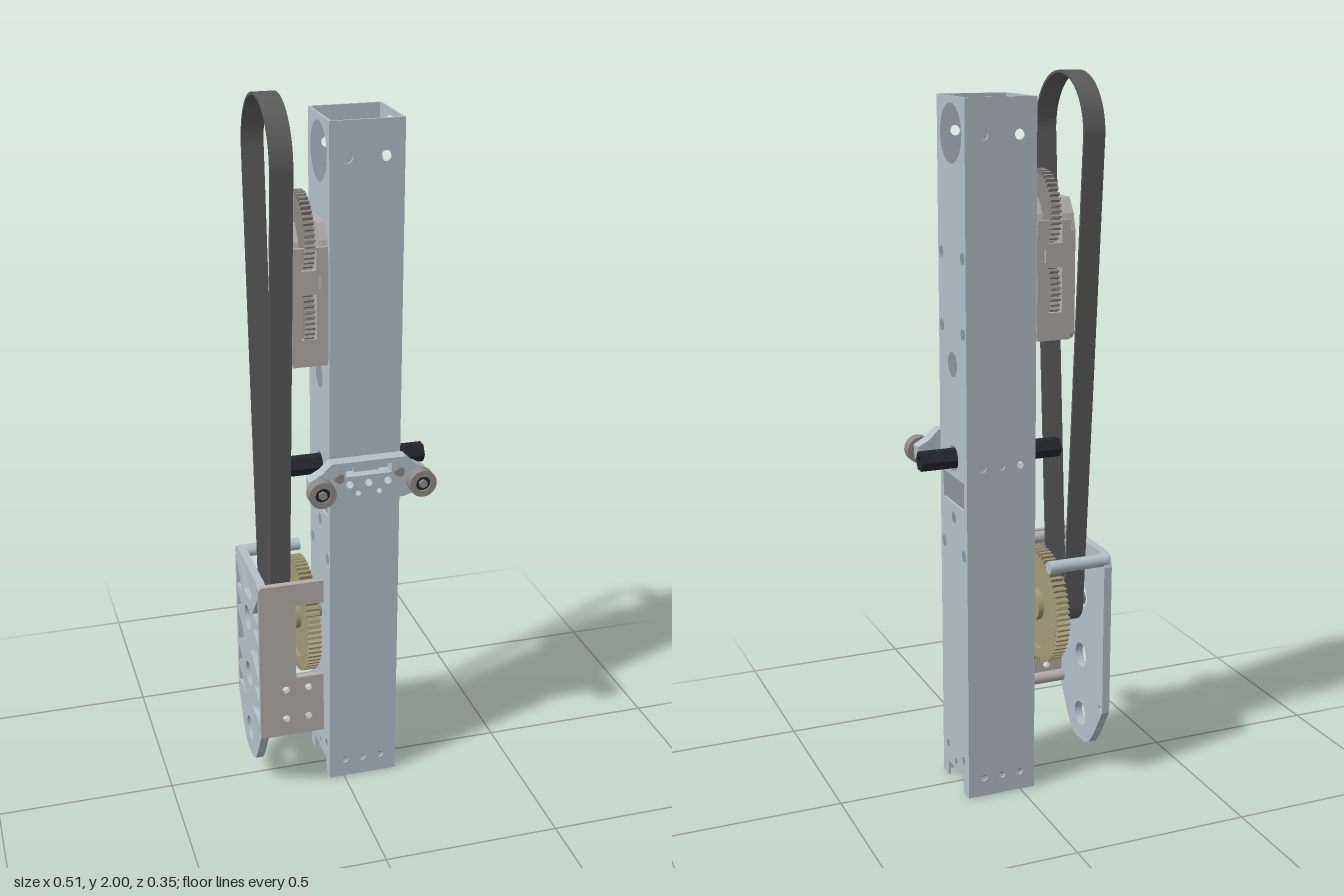
import * as THREE from 'three';

const BLUE = 0xb4c0c9, GREY = 0xb4aeab, DARK = 0x24272c, OLIVE = 0xa39b78, RUBBER = 0x5c5c5c, STEEL = 0x8f8a86;
const ZC = -0.011; // depth of the main centre plane

export function createModel() {
  const root = new THREE.Group();
  const mats = {};
  const mat = (c) => (mats[c] ??= new THREE.MeshStandardMaterial({ color: c }));
  const add = (name, geo, color, parent = root) => {
    const m = new THREE.Mesh(geo, mat(color));
    m.name = name;
    parent.add(m);
    return m;
  };

  // Shape helpers
  const poly = (pts) => new THREE.Shape(pts.map(([a, b]) => new THREE.Vector2(a, b)));
  const rect = (a0, b0, a1, b1) => poly([[a0, b0], [a1, b0], [a1, b1], [a0, b1]]);
  const circle = (a, b, r) => new THREE.Path().absarc(a, b, r, 0, Math.PI * 2, true);
  const mirrored = (half) => poly([...half, ...half.slice().reverse().map(([a, b]) => [-a, b])]);
  const cut = (shape, ...holes) => { shape.holes.push(...holes); return shape; };
  const alongZ = (shape, z0, z1) =>
    new THREE.ExtrudeGeometry(shape, { depth: z1 - z0, bevelEnabled: false, curveSegments: 12 }).translate(0, 0, z0);
  const alongX = (shape, x0, x1) => // shape lies in the side plane, centred on ZC
    alongZ(shape, 0, x1 - x0).rotateY(Math.PI / 2).translate(x0, 0, ZC);
  const rodX = (r, x0, x1, y, z, seg = 20) =>
    new THREE.CylinderGeometry(r, r, x1 - x0, seg).rotateZ(Math.PI / 2).translate((x0 + x1) / 2, y, z);
  const rodZ = (r, z0, z1, x, y, seg = 24) =>
    new THREE.CylinderGeometry(r, r, z1 - z0, seg).rotateX(Math.PI / 2).translate(x, y, (z0 + z1) / 2);
  const gearShape = (n, rIn, rOut, y, bore) => {
    const pts = [];
    for (let i = 0; i < n; i++)
      for (const [f, r] of [[0, rIn], [0.3, rIn], [0.45, rOut], [0.8, rOut]]) {
        const t = ((i + f) / n) * Math.PI * 2;
        pts.push([r * Math.cos(t), y + r * Math.sin(t)]);
      }
    return cut(poly(pts), circle(0, y, bore));
  };

  // Square tube: two drilled sides, front and rear walls
  const tube = new THREE.Group();
  tube.name = 'squareTube';
  root.add(tube);
  for (const x of [-0.043, 0.151]) {
    const side = mirrored([[0.101, 0], [0.101, 1.94]].reverse().concat([[0.101, 0], [0.06, 0], [0.06, 0.045]]).slice(0, 1)
      .concat([[0.101, 0], [0.06, 0], [0.06, 0.045]]));
    cut(side, circle(0, 1.845, 0.078), circle(0, 1.235, 0.034), circle(0, 0.975, 0.036), circle(0, 0.805, 0.016),
      circle(0, 0.07, 0.009), rect(-0.078, 0.845, 0.078, 0.922));
    for (const s of [-1, 1])
      for (const [a, y, r] of [[0.078, 1.53, 0.016], [0.078, 1.33, 0.016], [0.076, 0.715, 0.016], [0.062, 0.1, 0.011]])
        side.holes.push(circle(s * a, y, r));
    add('tubeSide', alongX(side, x, x + 0.006), BLUE, tube);
  }
  for (const z of [-0.112, 0.084]) {
    const wall = cut(rect(-0.043, 0, 0.157, 1.94), circle(0.005, 1.845, 0.014), circle(0.107, 1.845, 0.014));
    for (const x of [0.002, 0.056, 0.11]) wall.holes.push(circle(x, 0.055, 0.01), circle(x, 0.965, 0.01));
    add('tubeWall', alongZ(wall, z, z + 0.006), BLUE, tube);
  }

  // Hollow hexagonal cross shaft made of six panels, with a pin hole near the end
  const shaft = new THREE.Group();
  shaft.name = 'crossShaft';
  shaft.position.set(0, 0.975, ZC);
  root.add(shaft);
  for (let i = 0; i < 6; i++) {
    const panel = rect(-0.155, -0.0148, 0.255, 0.0148);
    if (i % 3 === 0) panel.holes.push(circle(0.217, 0, 0.01));
    const p = add('shaftPanel', alongZ(panel, 0.013, 0.0245).rotateX(-Math.PI / 2), DARK, shaft);
    p.rotation.x = (i * Math.PI) / 3;
  }

  // Drive belt: tapered loop, wide at the top and tight round the lower pulley
  const loop = (rTop, rLow) => {
    const tilt = Math.asin((rTop - rLow) / 1.323);
    const s = new THREE.Shape();
    s.absarc(0, 1.843, rTop, -tilt, Math.PI + tilt, false);
    s.absarc(0, 0.52, rLow, Math.PI + tilt, Math.PI * 2 - tilt, false);
    s.closePath();
    return s;
  };
  const beltShape = cut(loop(0.157, 0.063), loop(0.15, 0.056));
  add('driveBelt', new THREE.ExtrudeGeometry(beltShape, { depth: 0.06, bevelEnabled: false, curveSegments: 40 })
    .rotateY(Math.PI / 2).translate(-0.21, 0, ZC), RUBBER);
  add('lowerPulley', rodX(0.056, -0.212, -0.148, 0.52, ZC, 32), STEEL);

  // Upper gearbox: two cheek plates, slotted front and rear walls, two gears
  const box = new THREE.Group();
  box.name = 'upperGearbox';
  root.add(box);
  const cheek = () => {
    const s = mirrored([[0.085, 1.3], [0.1, 1.315], [0.1, 1.59], [0.088, 1.635], [0.06, 1.675]]);
    return cut(s, circle(0, 1.64, 0.02), circle(0, 1.44, 0.02), circle(0, 1.54, 0.018));
  };
  add('outerCheek', alongX(cheek(), -0.142, -0.122), GREY, box);
  add('innerCheek', alongX(cheek(), -0.066, -0.045), GREY, box);
  const ribs = mirrored([[0.085, 1.3], [0.1, 1.315], [0.1, 1.59], [0.088, 1.635], [0.06, 1.675]]);
  for (const y of [1.34, 1.44, 1.54]) ribs.holes.push(rect(-0.085, y - 0.035, 0.085, y + 0.035));
  ribs.holes.push(circle(0, 1.63, 0.034));
  add('outerRibs', alongX(ribs, -0.155, -0.142), GREY, box);
  for (const y of [1.34, 1.44, 1.54])
    add('bearingBoss', alongX(cut(rect(-0.045, y - 0.026, 0.045, y + 0.026), circle(0, y, 0.02)), -0.152, -0.141), GREY, box);
  for (const s of [-1, 1]) {
    const wall = rect(-0.142, 1.3, -0.047, 1.62);
    wall.holes.push(rect(-0.117, 1.375, -0.077, 1.495), rect(-0.117, 1.56, -0.077, 1.615), rect(-0.07, 1.51, -0.052, 1.545));
    const z = ZC + s * 0.096;
    add('gearboxWall', alongZ(wall, z - 0.005, z + 0.005), GREY, box);
  }
  for (const y of [1.64, 1.437]) {
    add('upperGear', alongX(gearShape(44, 0.1, 0.112, y - 0.005, 0.012), -0.11, -0.083), STEEL, box);
    add('gearAxle', rodX(0.013, -0.142, -0.045, y - 0.005, ZC), STEEL, box);
  }

  // Lower drive: large gear with a recessed web and hub
  const drive = new THREE.Group();
  drive.name = 'lowerDrive';
  root.add(drive);
  add('largeGear', alongX(gearShape(62, 0.153, 0.167, 0.515, 0.128), -0.122, -0.085), OLIVE, drive);
  add('gearWeb', rodX(0.13, -0.111, -0.096, 0.515, ZC, 48), OLIVE, drive);
  add('gearHub', rodX(0.045, -0.126, -0.08, 0.515, ZC, 32), OLIVE, drive);
  add('driveAxle', rodX(0.02, -0.24, -0.043, 0.515, ZC, 6), STEEL, drive);

  // Outer support plate: thin backing with a raised truss on the outside
  const hubs = [0.52, 0.335, 0.15];
  const outline = () => {
    const s = mirrored([[0.03, 0.07], [0.062, 0.085], [0.09, 0.12], [0.145, 0.21], [0.145, 0.65], [0.135, 0.682], [0.115, 0.69]]);
    for (const y of hubs) s.holes.push(circle(0, y, 0.036));
    for (const e of [-1, 1]) s.holes.push(circle(e * 0.13, 0.22, 0.008), circle(e * 0.128, 0.668, 0.008));
    return s;
  };
  const truss = outline();
  truss.holes.push(poly([[-0.095, 0.672], [0.095, 0.672], [0.04, 0.592], [-0.04, 0.592]]));
  for (const s of [-1, 1]) {
    for (const m of [0.43, 0.245])
      truss.holes.push(poly([[s * 0.128, m + 0.048], [s * 0.128, m - (m < 0.3 ? 0.004 : 0.048)], [s * 0.03, m]]));
    for (const c of [0.52, 0.335])
      truss.holes.push(poly([[s * 0.13, c + 0.026], [s * 0.13, c - 0.026], [s * 0.066, c]]));
    truss.holes.push(poly([[s * 0.13, 0.645], [s * 0.13, 0.565], [s * 0.062, 0.565]]));
  }
  add('supportPlate', alongX(outline(), -0.244, -0.235), BLUE, drive);
  add('supportTruss', alongX(truss, -0.258, -0.244), BLUE, drive);

  // C-shaped front guard and the standoffs
  const guard = poly([[-0.252, 0.205], [-0.075, 0.205], [-0.075, 0.39], [-0.155, 0.39],
    [-0.155, 0.62], [-0.075, 0.62], [-0.075, 0.688], [-0.252, 0.688], [-0.259, 0.68], [-0.259, 0.213]]);
  for (const x of [-0.185, -0.12]) for (const y of [0.355, 0.26]) guard.holes.push(circle(x, y, 0.011));
  add('frontGuard', alongZ(guard, 0.122, 0.137), GREY, drive);
  for (const y of [0.222, 0.668]) add('frontStandoff', rodX(0.017, -0.236, -0.075, y, 0.117), GREY, drive);
  add('rearStandoff', rodX(0.018, -0.25, -0.072, 0.668, -0.138), BLUE, drive);

  // Roller bracket on the front of the tube
  const bracket = new THREE.Group();
  bracket.name = 'rollerBracket';
  root.add(bracket);
  const CX = 0.056;
  const plate = mirrored([[0.1, 0.912], [0.145, 0.925], [0.164, 0.945], [0.166, 0.985], [0.13, 1.005], [0.105, 1.03]]);
  for (const x of [-0.054, 0, 0.054]) plate.holes.push(circle(x, 0.965, 0.011));
  for (const x of [-0.03, 0.03]) plate.holes.push(circle(x, 0.937, 0.008));
  plate.holes.push(rect(-0.065, 0.988, 0.065, 1.016));
  add('bracketPlate', alongZ(plate, 0.092, 0.13).translate(CX, 0, 0), BLUE, bracket);
  add('bracketTab', new THREE.BoxGeometry(0.07, 0.03, 0.012).translate(CX, 1.0, 0.096), BLUE, bracket);
  for (const s of [-1, 1]) {
    const x = CX + s * 0.141;
    add('bracketBolt', rodZ(0.014, 0.128, 0.143, CX + s * 0.085, 0.99, 6), STEEL, bracket);
    add('rollerSpacer', rodZ(0.018, 0.125, 0.142, x, 0.962), BLUE, bracket);
    const ring = new THREE.Shape().absarc(x, 0.962, 0.038, 0, Math.PI * 2, false);
    add('roller', alongZ(cut(ring, circle(x, 0.962, 0.021)), 0.141, 0.174), STEEL, bracket);
    add('rollerAxle', rodZ(0.021, 0.141, 0.168, x, 0.962), DARK, bracket);
    add('rollerBolt', rodZ(0.012, 0.16, 0.177, x, 0.962, 6), STEEL, bracket);
  }
  return root;
}
